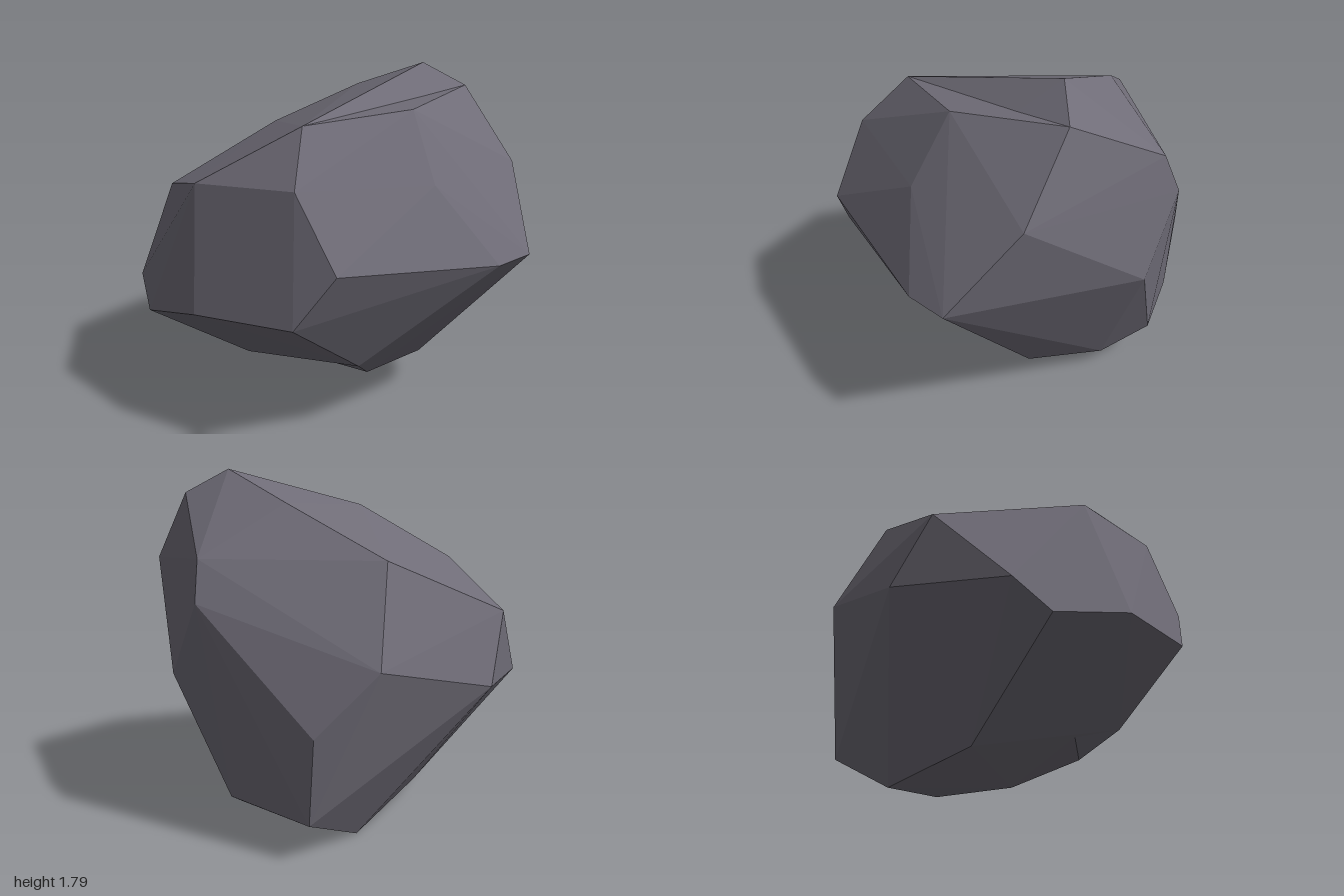
import * as THREE from 'three';
import { ConvexGeometry } from 'three/addons/geometries/ConvexGeometry.js';

// Corners of the boulder, grouped by where they sit
const corners = {
  peak: [[0.53, 1.79, -0.15]],
  frontBrow: [[0.41, 1.61, 0.35]],
  crown: [
    [0.76, 1.67, -0.13], [-0.13, 1.56, 0.52], [0.205, 1.645, -0.455],
    [-0.28, 1.4, -0.65], [0.6, 1.4, -0.63], [-0.65, 1.27, 0.42], [-0.87, 1.1, -0.295],
  ],
  girdle: [
    [0.98, 1.3, 0.1], [1, 0.9, 0.46], [0.815, 0.89, 0.6], [0.495, 1.28, 0.55],
    [-0.17, 1.31, 0.775], [0.01, 0.965, 0.94], [-0.185, 0.7, 0.91], [-0.66, 0.665, 0.61],
    [-0.94, 0.545, 0.25], [-1, 0.69, 0.08], [-0.8, 0.76, -0.49], [-0.255, 0.945, -0.91],
    [0.04, 0.64, -0.945], [0.6, 1.205, -0.715], [0.765, 0.815, -0.53],
  ],
  underside: [[0.14, 0.365, 0.59], [0.54, 0.16, -0.01]],
  frontToe: [[0.205, 0.22, 0.37]],
  rearFoot: [
    [0.47, 0.095, -0.43], [-0.145, 0, -0.58], [-0.45, 0.11, -0.14],
    [0.065, 0.205, -0.915], [0.465, 0.24, -0.69],
  ],
};

export function createModel() {
  const group = new THREE.Group();
  group.name = 'boulder';
  const stone = new THREE.MeshStandardMaterial({ color: 0x6f6c77 });
  stone.name = 'greyStone';
  stone.flatShading = true;

  // A faceted mass wrapped around the chosen corner groups
  const addMass = (name, ...keys) => {
    const points = keys.flatMap((k) => corners[k]).map((p) => new THREE.Vector3(...p));
    const mesh = new THREE.Mesh(new ConvexGeometry(points), stone);
    mesh.name = name;
    group.add(mesh);
  };

  // Two overlapping masses leave shallow valleys at the top and underneath
  addMass('rearMass', 'peak', 'crown', 'girdle', 'underside', 'rearFoot');
  addMass('frontMass', 'frontBrow', 'crown', 'girdle', 'underside', 'frontToe');
  return group;
}
